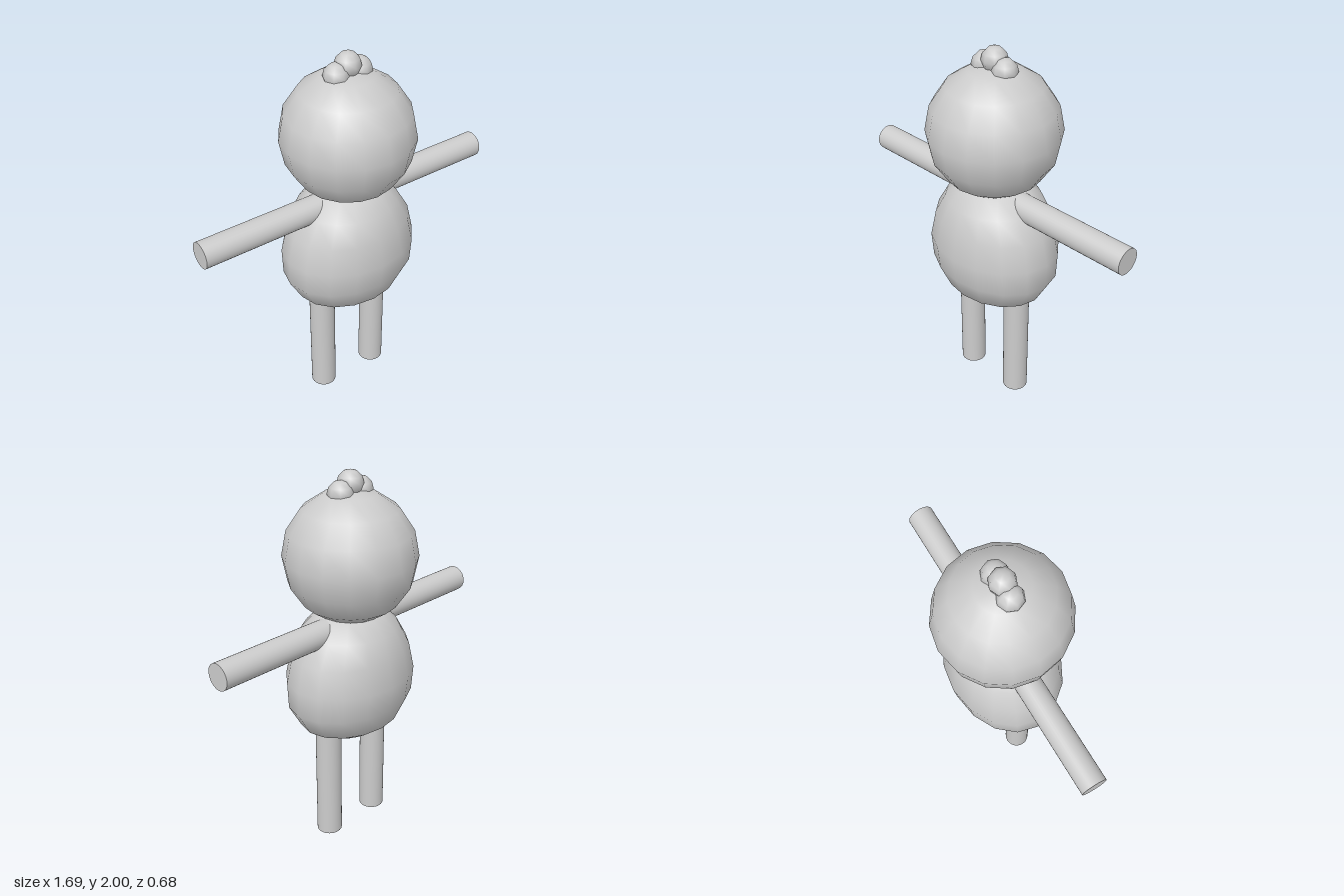
import * as THREE from 'three';

const material = new THREE.MeshStandardMaterial({ color: 0xcccccc });

export function createModel() {
  const model = new THREE.Group();
  const add = (name, geometry, x, y, z = 0) => {
    const mesh = new THREE.Mesh(geometry, material);
    mesh.name = name;
    mesh.position.set(x, y, z);
    model.add(mesh);
    return mesh;
  };

  // Pear-shaped body: a 16 x 8 sphere whose rings are resized as [y, half width, half depth]
  const rings = [
    [1.32, 0, 0], [1.28, 0.18, 0.155], [1.195, 0.265, 0.235], [1.08, 0.335, 0.275],
    [0.937, 0.368, 0.3], [0.8, 0.366, 0.284], [0.675, 0.295, 0.232], [0.595, 0.155, 0.125], [0.565, 0, 0],
  ];
  const body = new THREE.SphereGeometry(1, 16, 8);
  const p = body.attributes.position;
  for (let i = 0; i < p.count; i++) {
    const row = Math.floor(i / 17);
    const angle = ((i % 17) / 16) * Math.PI * 2;
    const [y, rx, rz] = rings[row];
    p.setXYZ(i, -Math.cos(angle) * rx, y, Math.sin(angle) * rz);
    // Smooth normals of the stretched rings
    const [ya, xa, za] = rings[Math.max(row - 1, 0)];
    const [yb, xb, zb] = rings[Math.min(row + 1, 8)];
    const pole = row === 0 || row === 8;
    const n = pole
      ? new THREE.Vector3(0, row === 0 ? 1 : -1, 0)
      : new THREE.Vector3(
        -Math.cos(angle) / rx,
        (Math.cos(angle) ** 2 * (xb - xa) / rx + Math.sin(angle) ** 2 * (zb - za) / rz) / (ya - yb),
        Math.sin(angle) / rz,
      ).normalize();
    body.attributes.normal.setXYZ(i, n.x, n.y, n.z);
  }
  add('body', body, 0, 0);

  // Head
  add('head', new THREE.SphereGeometry(0.34, 16, 8), 0, 1.57);

  // Three small tufts on the crown
  const tuft = new THREE.SphereGeometry(0.066, 8, 6);
  add('middleTuft', tuft, 0, 1.934);
  add('leftTuft', tuft, 0.065, 1.894);
  add('rightTuft', tuft, -0.065, 1.894);

  // Straight arms and legs, mirrored
  const arm = new THREE.CylinderGeometry(0.068, 0.068, 0.7, 32);
  const leg = new THREE.CylinderGeometry(0.068, 0.068, 0.72, 32);
  for (const [side, s] of [['left', 1], ['right', -1]]) {
    add(side + 'Arm', arm, s * 0.493, 1.213).rotation.z = -s * Math.PI / 2;
    add(side + 'Leg', leg, s * 0.168 - 0.004, 0.36);
  }
  return model;
}
